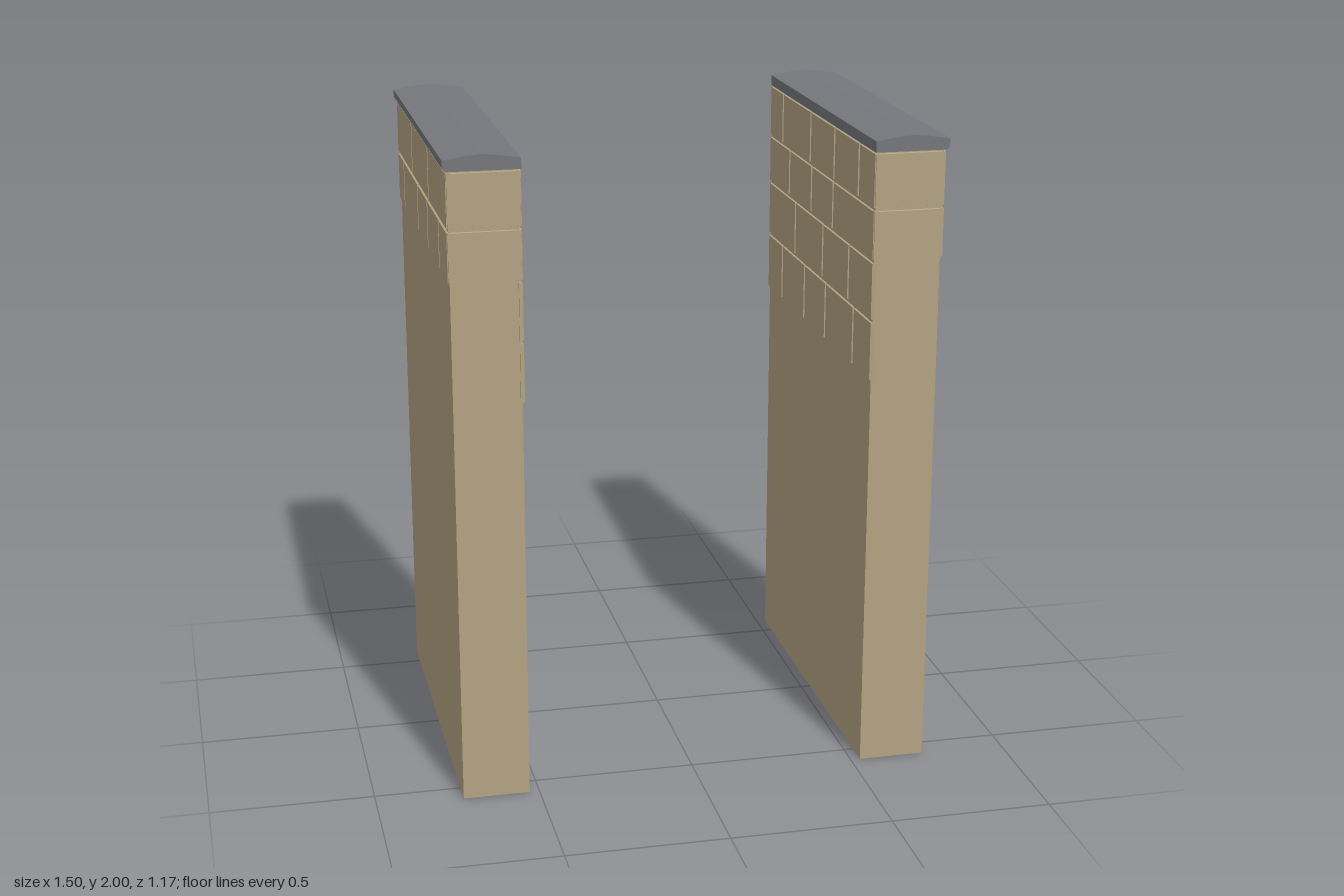
import * as THREE from 'three';

const IN = 0.53, OUT = 0.735, BACK = -0.585, FRONT = 0.574, TOP = 1.955;
const GAP = 0.007, PROUD = 0.006;
const stoneMat = new THREE.MeshStandardMaterial({ color: 0xb3a382, flatShading: true });
const capMat = new THREE.MeshStandardMaterial({ color: 0x75777c, flatShading: true });

// Courses from the top down: [bottom, top] heights
const rows = [[1.78, 1.952], [1.622, 1.78], [1.44, 1.622], [1.25, 1.44]];
// z positions of the upright joints in each course
const outerJoints = [[0.185, -0.205], [0.4, 0.145, -0.09, -0.44]];
const innerJoints = [
  [0.42, 0.165, -0.1, -0.43],
  [0.16, -0.08, -0.34],
  [0.34, 0.06, -0.26],
  [0.4, 0.1, -0.14, -0.41],
];

// Thin facing stone whose outer (+z) face is slightly smaller than its base
function stone(w, h) {
  const depth = PROUD * 2, bevel = 0.003;
  const g = new THREE.BoxGeometry(w, h, depth);
  const p = g.attributes.position;
  for (let i = 0; i < p.count; i++) {
    if (p.getZ(i) > 0) {
      p.setX(i, p.getX(i) - Math.sign(p.getX(i)) * bevel);
      p.setY(i, p.getY(i) - Math.sign(p.getY(i)) * bevel);
    }
  }
  g.computeVertexNormals();
  return new THREE.Mesh(g, stoneMat);
}

// Stones along one long face, looking along dir (+1 or -1 in x)
function facing(name, x, dir, joints) {
  const group = new THREE.Group();
  group.name = name;
  joints.forEach((cuts, r) => {
    const [y0, y1] = rows[r];
    const edges = [FRONT + PROUD, ...cuts, BACK];
    for (let i = 0; i < edges.length - 1; i++) {
      const a = edges[i] - (i ? GAP / 2 : 0);
      const b = edges[i + 1] + (i < edges.length - 2 ? GAP / 2 : 0);
      const m = stone(a - b, y1 - y0 - GAP);
      m.name = 'facingStone';
      m.rotation.y = dir * Math.PI / 2;
      m.position.set(x, (y0 + y1) / 2, (a + b) / 2);
      group.add(m);
    }
  });
  return group;
}

function wall(s) {
  const group = new THREE.Group();
  group.name = s > 0 ? 'leftWall' : 'rightWall';

  // Plain body
  const body = new THREE.Mesh(new THREE.BoxGeometry(OUT - IN, TOP, FRONT - BACK), stoneMat);
  body.name = 'wallBody';
  body.position.set(s * (IN + OUT) / 2, TOP / 2, (FRONT + BACK) / 2);
  group.add(body);

  // Two courses outside, four inside
  group.add(facing('outerFacing', s * OUT, s, outerJoints));
  group.add(facing('innerFacing', s * IN, -s, innerJoints));

  // One stone per course on the front end
  for (const [y0, y1] of rows.slice(0, 2)) {
    const m = stone(OUT - IN + PROUD * 2, y1 - y0 - GAP);
    m.name = 'endStone';
    m.position.set(s * (IN + OUT) / 2, (y0 + y1) / 2, FRONT);
    group.add(m);
  }

  // Coping with a low ridge, overhanging on the outside
  const profile = [
    [0.524, 1.952], [0.742, 1.952], [0.75, 1.962], [0.75, 1.985],
    [0.68, 1.996], [0.637, 2], [0.595, 1.996], [0.524, 1.985],
  ];
  const shape = new THREE.Shape(profile.map(([x, y]) => new THREE.Vector2(s * x, y)));
  const cap = new THREE.Mesh(
    new THREE.ExtrudeGeometry(shape, { depth: 1.17, bevelEnabled: false }), capMat);
  cap.name = 'coping';
  cap.position.z = -0.585;
  group.add(cap);
  return group;
}

export function createModel() {
  const model = new THREE.Group();
  model.name = 'pairOfWalls';
  model.add(wall(1), wall(-1));
  return model;
}
